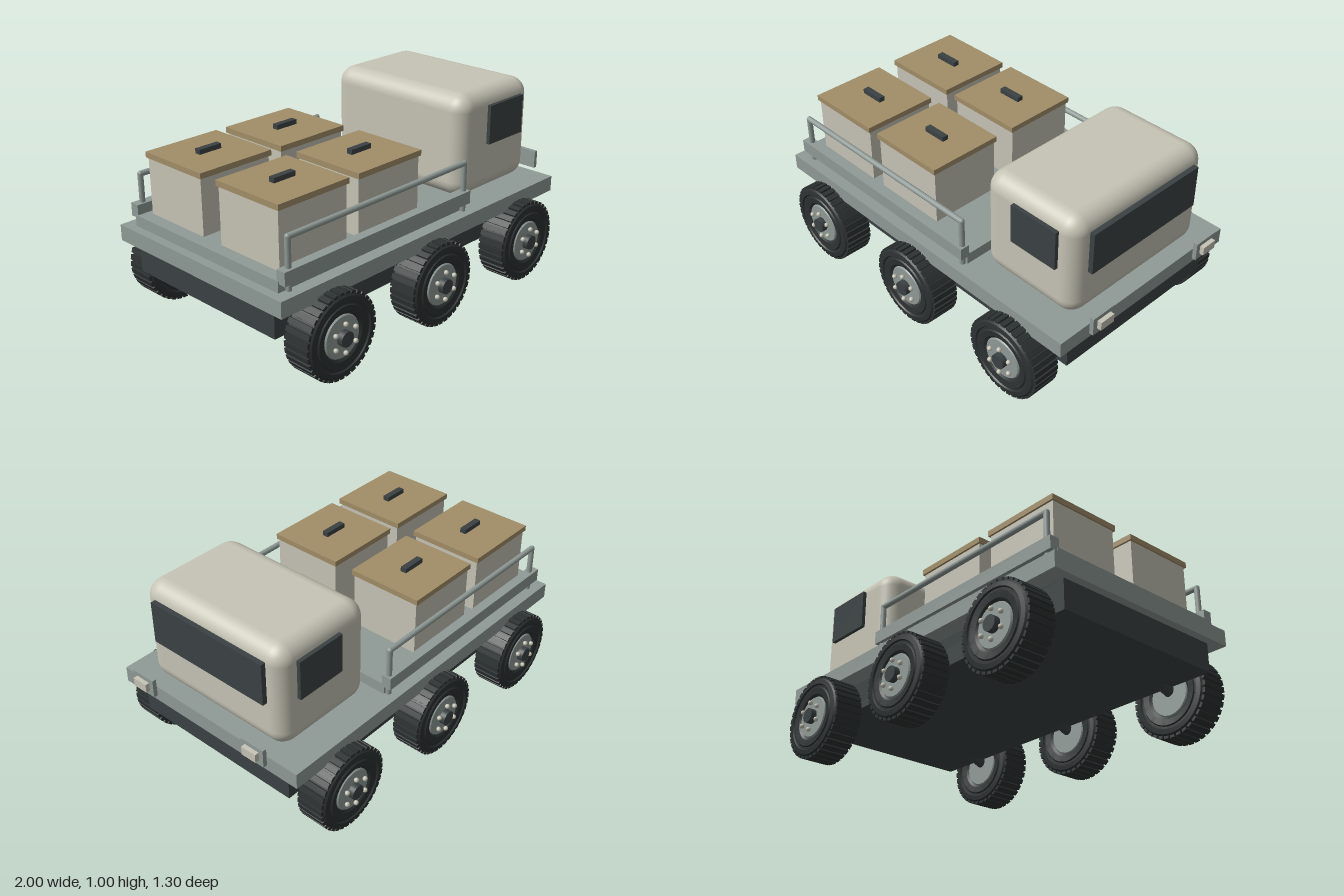
import * as THREE from 'three';
import { toCreasedNormals } from 'three/addons/utils/BufferGeometryUtils.js';
import { RoundedBoxGeometry } from 'three/addons/geometries/RoundedBoxGeometry.js';

const mat = (name, color) => {
  const m = new THREE.MeshStandardMaterial({ color });
  m.name = name;
  return m;
};

export function createModel() {
  const cream = mat('cream paint', 0xc6c4b5);
  const grey = mat('grey metal', 0x8f9a96);
  const dark = mat('dark panel', 0x3b4243);
  const rubber = mat('tyre rubber', 0x2c3131);
  const tan = mat('tan lid', 0xa28e68);

  const model = new THREE.Group();
  model.name = 'cargoTruck';

  const add = (parent, name, geo, material, x = 0, y = 0, z = 0) => {
    const m = new THREE.Mesh(geo, material);
    m.name = name;
    m.position.set(x, y, z);
    parent.add(m);
    return m;
  };
  // box given by its limits on each axis
  const box = (parent, name, material, [x0, x1], [y0, y1], [z0, z1]) =>
    add(parent, name, new THREE.BoxGeometry(x1 - x0, y1 - y0, z1 - z0), material,
      (x0 + x1) / 2, (y0 + y1) / 2, (z0 + z1) / 2);
  // round bar between two points
  const bar = (parent, name, material, a, b, r0, r1 = r0) => {
    const from = new THREE.Vector3(...a), dir = new THREE.Vector3(...b).sub(from);
    const m = add(parent, name, new THREE.CylinderGeometry(r1, r0, dir.length(), 16), material);
    m.position.copy(from).addScaledVector(dir, 0.5);
    m.quaternion.setFromUnitVectors(new THREE.Vector3(0, 1, 0), dir.normalize());
    return m;
  };

  // chassis, deck and cargo floor
  box(model, 'chassis', dark, [-0.96, 0.88], [0.245, 0.39], [-0.466, 0.466]);
  box(model, 'deck', grey, [-1, 0.92], [0.39, 0.47], [-0.555, 0.555]);
  box(model, 'cargoFloor', grey, [-0.955, 0.265], [0.47, 0.525], [-0.49, 0.49]);

  // cab with windows
  add(model, 'cab', new RoundedBoxGeometry(0.555, 0.53, 0.86, 6, 0.085), cream, 0.5875, 0.735, 0);
  box(model, 'windshield', dark, [0.86, 0.89], [0.713, 0.927], [-0.342, 0.342]);

  for (const s of [1, -1]) {
    const span = (a, b) => (s > 0 ? [a, b] : [-b, -a]);
    box(model, 'sideWindow', dark, [0.505, 0.77], [0.727, 0.927], span(0.425, 0.449));
    // headlights
    box(model, 'headlightPlate', grey, [0.957, 0.978], [0.469, 0.561], span(0.285, 0.418));
    box(model, 'headlightLens', cream, [0.978, 1], [0.496, 0.54], span(0.31, 0.393));
    // side board and hand rail
    box(model, 'sideBoard', grey, [-0.95, 0.265], [0.51, 0.575], span(0.477, 0.527));
    const z = 0.5 * s;
    bar(model, 'rail', grey, [-0.905, 0.715, z], [0.243, 0.715, z], 0.014);
    for (const x of [-0.905, 0.243]) {
      bar(model, 'railPost', grey, [x, 0.47, z], [x, 0.715, z], 0.014);
      add(model, 'railCorner', new THREE.SphereGeometry(0.0145, 12, 8), grey, x, 0.715, z);
    }
  }

  // four lidded crates
  for (const x of [-0.69, -0.213]) {
    for (const z of [-0.257, 0.242]) {
      const crate = new THREE.Group();
      crate.name = 'crate';
      crate.position.set(x, 0, z);
      box(crate, 'crateBody', cream, [-0.2, 0.2], [0.525, 0.806], [-0.188, 0.188]);
      box(crate, 'crateLid', tan, [-0.208, 0.208], [0.806, 0.834], [-0.198, 0.198]);
      box(crate, 'crateHandle', dark, [-0.063, 0.063], [0.834, 0.858], [-0.016, 0.016]);
      model.add(crate);
    }
  }

  // wheel parts, turned around the z axis
  const turned = (pts) => toCreasedNormals(
    new THREE.LatheGeometry(pts.map(([r, h]) => new THREE.Vector2(r, h)), 48).rotateX(Math.PI / 2), 0.5);
  const side = [[0.105, 0.066], [0.118, 0.076], [0.148, 0.08], [0.153, 0.074],
    [0.163, 0.074], [0.168, 0.081], [0.19, 0.078], [0.2, 0.068]];
  const tyreGeo = turned([...side.map(([r, h]) => [r, -h]), ...side.slice().reverse()]);
  const rimGeo = turned([[0, -0.072], [0.1, -0.072], [0.107, -0.064], [0.107, 0.064], [0.1, 0.074], [0, 0.074]]);
  const lugGeo = new THREE.BoxGeometry(0.025, 0.02, 0.142);
  const boltGeo = new THREE.SphereGeometry(0.012, 10, 8);
  const capGeo = new THREE.CylinderGeometry(0.037, 0.037, 0.04, 24).rotateX(Math.PI / 2);

  const makeWheel = () => {
    const wheel = new THREE.Group();
    wheel.name = 'wheel';
    add(wheel, 'tyre', tyreGeo, rubber);
    add(wheel, 'rim', rimGeo, grey);
    add(wheel, 'hubCap', capGeo, dark, 0, 0, 0.084);
    const lugs = 36;
    for (let i = 0; i < lugs; i++) {
      const a = (i / lugs) * Math.PI * 2;
      add(wheel, 'treadLug', lugGeo, rubber, -Math.sin(a) * 0.2, Math.cos(a) * 0.2, 0).rotation.z = a;
    }
    for (let i = 0; i < 6; i++) {
      const a = Math.PI / 2 + (i * Math.PI) / 3;
      add(wheel, 'wheelBolt', boltGeo, cream, Math.cos(a) * 0.07, Math.sin(a) * 0.07, 0.092);
    }
    return wheel;
  };

  // six wheels on sloping axle arms
  for (const x of [-0.71, -0.04, 0.63]) {
    for (const s of [1, -1]) {
      const wheel = makeWheel();
      wheel.position.set(x, 0.215, 0.548 * s);
      if (s < 0) wheel.rotation.y = Math.PI;
      model.add(wheel);
      bar(model, 'axleArm', dark, [x, 0.285, 0.36 * s], [x, 0.222, 0.52 * s], 0.03);
    }
  }
  return model;
}
